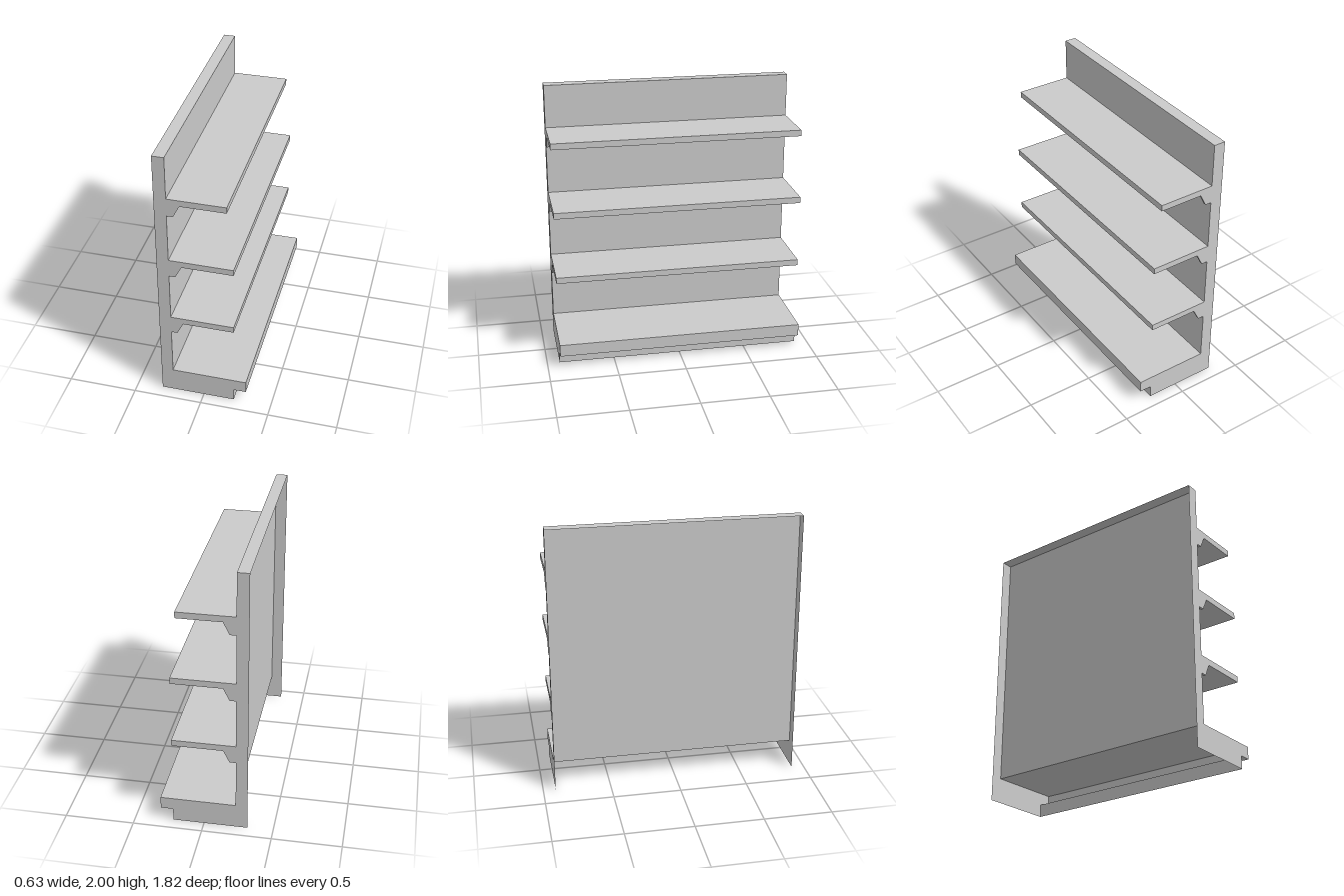
import * as THREE from 'three';

const HALF = 0.908; // half of the unit's length along z
const BACK = -0.315, PANEL = -0.23;

const solid = new THREE.MeshStandardMaterial({ color: 0xcccccc, flatShading: true });
const sheet = new THREE.MeshStandardMaterial({ color: 0xcccccc, flatShading: true, side: THREE.DoubleSide });

function makeShape(points) {
  return new THREE.Shape(points.map(([x, y]) => new THREE.Vector2(x, y)));
}

// Open sheet: sweeps a profile in x, y along the full length
function sweptSheet(points) {
  const positions = [], index = [];
  points.forEach(([x, y], i) => {
    positions.push(x, y, -HALF, x, y, HALF);
    if (i > 0) {
      const a = 2 * (i - 1);
      index.push(a, a + 1, a + 2, a + 1, a + 3, a + 2);
    }
  });
  const indexed = new THREE.BufferGeometry();
  indexed.setAttribute('position', new THREE.Float32BufferAttribute(positions, 3));
  indexed.setIndex(index);
  const geometry = indexed.toNonIndexed();
  geometry.computeVertexNormals();
  return geometry;
}

export function createModel() {
  const model = new THREE.Group();
  model.name = 'shelvingUnit';
  const add = (name, geometry, material, parent = model) => {
    const mesh = new THREE.Mesh(geometry, material);
    mesh.name = name;
    parent.add(mesh);
    return mesh;
  };

  // Hollow body, open at the back and underneath: top, panel, deck, lip and kick board
  const profile = [
    [BACK, 2], [PANEL, 2], [PANEL, 0.185], [0.315, 0.185],
    [0.315, 0.095], [0.225, 0.095], [0.225, 0],
  ];
  add('bodyShell', sweptSheet(profile), sheet);

  // Thin end walls closing the body
  const endGeometry = new THREE.ShapeGeometry(makeShape([...profile, [BACK, 0]]));
  for (const side of [1, -1]) {
    const end = add(side > 0 ? 'frontEndWall' : 'rearEndWall', endGeometry, sheet);
    end.position.z = side * HALF;
    end.scale.z = side;
  }

  // Shelves, each carried by a bracket at both ends
  const thickness = 0.045, bracketWidth = 0.018;
  const bracketGeometry = new THREE.ExtrudeGeometry(
    makeShape([[PANEL, 0], [PANEL, -0.09], [-0.185, -0.09], [-0.14, 0]]),
    { depth: bracketWidth, bevelEnabled: false });

  [[0.64, 0.225], [1.14, 0.225], [1.64, 0.18]].forEach(([y, front], i) => {
    const tier = new THREE.Group();
    tier.name = `shelfTier${i + 1}`;
    tier.position.y = y;
    model.add(tier);

    const board = add('shelf', new THREE.BoxGeometry(front - PANEL, thickness, 2 * HALF), solid, tier);
    board.position.set((front + PANEL) / 2, thickness / 2, 0);

    for (const z of [-HALF, HALF - bracketWidth]) {
      add('bracket', bracketGeometry, solid, tier).position.z = z;
    }
  });

  return model;
}
